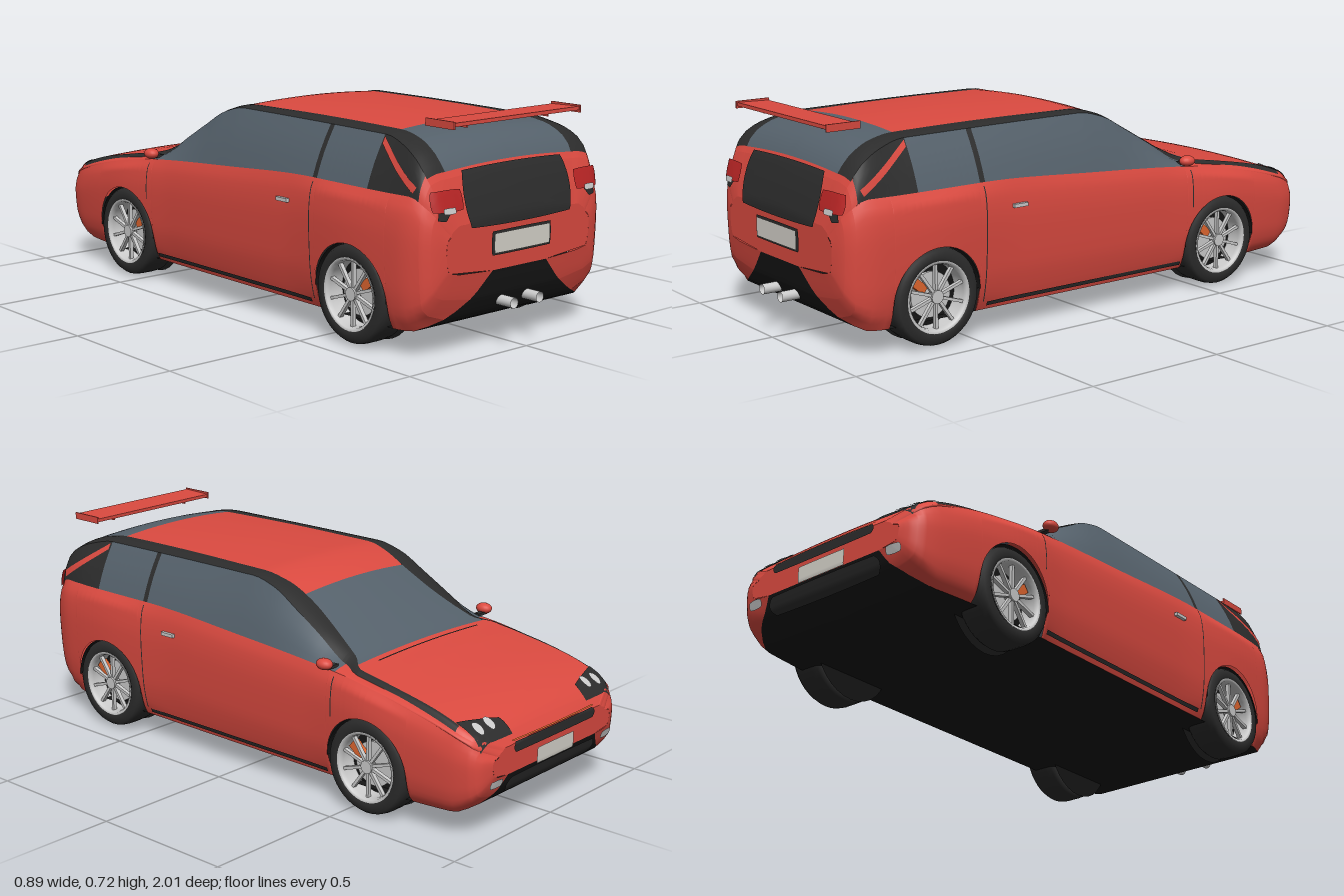
import * as THREE from 'three';

const mat = (color) => new THREE.MeshStandardMaterial({ color, side: THREE.DoubleSide });
const red = mat(0xdb4a40), black = mat(0x2c2c2c), under = mat(0x161616), glass = mat(0x55616b),
  silver = mat(0xcccccc), white = mat(0xf2f2f2), plate = mat(0xd6d3cb), lamp = mat(0xb92525), amber = mat(0xe0662f);

// Smooth interpolation through [position, value] pairs without overshoot
function curve(pts) {
  const d = pts.slice(1).map((p, i) => (p[1] - pts[i][1]) / (p[0] - pts[i][0]));
  const m = pts.map((p, i) => {
    if (i === 0) return d[0];
    if (i === pts.length - 1) return d[i - 1];
    return d[i - 1] * d[i] <= 0 ? 0 : (2 * d[i - 1] * d[i]) / (d[i - 1] + d[i]);
  });
  return (v) => {
    let i = 0;
    while (i < pts.length - 2 && v > pts[i + 1][0]) i++;
    const h = pts[i + 1][0] - pts[i][0], t = THREE.MathUtils.clamp((v - pts[i][0]) / h, 0, 1), q = 1 - t;
    return pts[i][1] * (1 + 2 * t) * q * q + m[i] * h * t * q * q + pts[i + 1][1] * t * t * (3 - 2 * t) - m[i + 1] * h * t * t * q;
  };
}

// Section measurements along the car: nose at -z, tail at +z
const Z0 = -1, Z1 = 0.965;
const yBottom = curve([[-1, .2], [-.98, .145], [-.94, .105], [-.88, .08], [.86, .08], [.92, .11], [.95, .17], [Z1, .25]]);
const wBottom = curve([[-1, .24], [-.96, .31], [-.88, .36], [-.6, .385], [.8, .385], [.88, .36], [.92, .3], [.95, .2], [Z1, .12]]);
const wSide = curve([[-1, .32], [-.985, .36], [-.96, .385], [-.9, .403], [-.75, .42], [-.575, .43], [-.3, .418], [.3, .417],
  [.64, .431], [.85, .42], [.93, .395], [.955, .36], [Z1, .32]]);
const wBelt = curve([[-1, .29], [-.96, .37], [-.9, .39], [-.7, .4], [0, .397], [.7, .4], [.9, .388], [.95, .35], [Z1, .3]]);
const yBelt = curve([[-1, .27], [-.96, .31], [-.9, .34], [-.7, .395], [-.45, .44], [0, .475], [.45, .5], [.88, .5], [.945, .45], [Z1, .38]]);
const wRail = curve([[-1, .27], [-.96, .36], [-.9, .38], [-.5, .372], [-.43, .345], [-.17, .328], [0, .322], [.7, .325], [.9, .36], [.95, .33], [Z1, .28]]);
const yRail = curve([[-1, .285], [-.96, .325], [-.9, .352], [-.7, .407], [-.43, .455], [-.3, .53], [-.2, .588], [-.1, .642], [0, .664],
  [.7, .66], [.8, .64], [.88, .6], [.92, .545], [.945, .48], [Z1, .4]]);
const wRoof = curve([[-1, .25], [-.96, .34], [-.9, .36], [-.5, .35], [-.43, .3], [-.17, .25], [0, .265], [.7, .258], [.9, .285], [Z1, .25]]);
const yTop = curve([[-1, .3], [-.97, .335], [-.93, .365], [-.8, .41], [-.6, .448], [-.47, .47], [-.4, .502], [-.3, .556], [-.2, .613],
  [-.1, .66], [0, .681], [.3, .685], [.7, .68], [.8, .665], [.88, .625], [.92, .57], [.945, .5], [Z1, .42]]);
const yRoofEdge = (z) => yTop(z) - Math.min(.012, (yTop(z) - yRail(z)) * .6);

const AXLES = [-.575, .64], ARCH = .163, WHEEL_Y = .16;
const sideX = (z, s) => curve([[0, wBottom(z)], [.1, wSide(z) * .95], [.35, wSide(z) * .988], [.7, wSide(z)], [.9, wSide(z) * .985], [1, wBelt(z)]])(s);
// Lower edge of the side, lifted into an arch over each wheel
function sideStart(z) {
  for (const c of AXLES) {
    const d = Math.abs(z - c);
    if (d < ARCH) return WHEEL_Y + Math.sqrt(ARCH * ARCH - d * d);
  }
  return yBottom(z);
}
const mix = THREE.MathUtils.lerp;
// Rows of the half section, from the floor to the centre of the roof
const ROWS = {
  floor: (z, t) => [wBottom(z) * t, yBottom(z)],
  side: (z, t) => {
    const y = mix(sideStart(z), yBelt(z), t);
    return [sideX(z, (y - yBottom(z)) / (yBelt(z) - yBottom(z))), y];
  },
  window: (z, t) => [mix(wBelt(z), wRail(z), t) + .006 * Math.sin(Math.PI * t), mix(yBelt(z), yRail(z), t)],
  rail: (z, t) => [mix(wRail(z), wRoof(z), t), mix(yRail(z), yRoofEdge(z), t) + .004 * Math.sin(Math.PI * t)],
  top: (z, t) => [wRoof(z) * (1 - t), yTop(z) - (yTop(z) - yRoofEdge(z)) * (1 - t) ** 2],
};
const stations = [];
for (let z = Z0; z < Z1; z += .025) stations.push(z);
for (const d of [.002, .005, .01, .016, .028, .04]) stations.push(Z0 + d, Z1 - d);
for (const c of AXLES) {
  for (let i = 0; i <= 24; i++) stations.push(c + (ARCH - 1e-5) * Math.cos((i / 24) * Math.PI));
  stations.push(c - ARCH - 3e-4, c + ARCH + 3e-4);
}
stations.sort((a, b) => a - b);

// Grid surface; its front faces a x b
function grid(fn, na, nb, flip = false) {
  const pos = [], idx = [], n = nb + 1;
  for (let i = 0; i <= na; i++) for (let j = 0; j <= nb; j++) pos.push(...fn(i, j));
  for (let i = 0; i < na; i++) for (let j = 0; j < nb; j++) {
    const a = i * n + j, b = a + n;
    if (flip) idx.push(a, a + 1, b, b, a + 1, b + 1);
    else idx.push(a, b, a + 1, b, b + 1, a + 1);
  }
  const g = new THREE.BufferGeometry();
  g.setAttribute('position', new THREE.Float32BufferAttribute(pos, 3));
  g.setIndex(idx);
  g.computeVertexNormals();
  return g;
}
function add(parent, name, geometry, material, x = 0, y = 0, z = 0) {
  const m = new THREE.Mesh(geometry, material);
  m.name = name;
  m.position.set(x, y, z);
  parent.add(m);
  return m;
}
const box = (x, y, z) => new THREE.BoxGeometry(x, y, z);

function panel(body, name, row, z0, z1, material) {
  const zs = [z0, ...stations.filter((z) => z > z0 + 1e-4 && z < z1 - 1e-4), z1];
  const n = row === 'side' ? 16 : row === 'top' ? 8 : 4;
  for (const s of [1, -1]) add(body, name, grid((i, j) => {
    const [x, y] = ROWS[row](zs[j], i / n);
    return [x * s, y, zs[j]];
  }, n, zs.length - 1, s < 0), material);
}

function makeWheel() {
  const wheel = new THREE.Group();
  const ring = (pts) => new THREE.LatheGeometry(pts.map((p) => new THREE.Vector2(...p)), 40).rotateZ(-Math.PI / 2);
  add(wheel, 'tyre', ring([[.112, -.055], [.148, -.058], [.158, -.045], [.16, -.02], [.16, .025], [.157, .043], [.148, .055], [.125, .058], [.114, .052]]), black);
  add(wheel, 'rim', ring([[.104, -.05], [.104, .04], [.108, .055], [.117, .056]]), silver);
  add(wheel, 'backPlate', new THREE.CircleGeometry(.106, 32).rotateY(Math.PI / 2), under, -.01);
  add(wheel, 'brakeDisc', new THREE.CylinderGeometry(.075, .075, .01, 32).rotateZ(Math.PI / 2), silver, .005);
  add(wheel, 'hub', new THREE.CylinderGeometry(.018, .022, .03, 20).rotateZ(Math.PI / 2), silver, .035);
  for (let i = 0; i < 10; i++) add(wheel, 'spoke', box(.014, .095, .01).translate(0, .06, 0).rotateX((i * Math.PI) / 5), silver, .036);
  return wheel;
}

export function createModel() {
  const car = new THREE.Group(), body = new THREE.Group();
  car.name = 'car';
  body.name = 'body';
  car.add(body);
  panel(body, 'floor', 'floor', Z0, Z1, under);
  panel(body, 'sidePanel', 'side', Z0, Z1, red);
  panel(body, 'frontWing', 'window', Z0, -.43, red);
  panel(body, 'doorWindow', 'window', -.43, .445, glass);
  panel(body, 'doorPost', 'window', .445, .465, black);
  panel(body, 'rearSideWindow', 'window', .465, .7, glass);
  panel(body, 'rearQuarter', 'window', .7, .91, black);
  panel(body, 'rearCorner', 'window', .91, Z1, red);
  panel(body, 'noseEdge', 'rail', Z0, -.9, red);
  panel(body, 'roofRail', 'rail', -.9, .915, black);
  panel(body, 'tailEdge', 'rail', .915, Z1, red);
  panel(body, 'bonnet', 'top', Z0, -.47, red);
  panel(body, 'windscreen', 'top', -.47, -.17, glass);
  panel(body, 'roof', 'top', -.17, .7, red);
  panel(body, 'rearWindow', 'top', .7, .915, glass);
  panel(body, 'tailgate', 'top', .915, Z1, red);
  // Flat closing faces at the nose and tail
  for (const [name, z] of [['noseFace', Z0], ['tailFace', Z1]]) {
    const outline = ['side', 'window', 'rail', 'top'].flatMap((r) => Array.from({ length: 9 }, (_, k) => ROWS[r](z, k / 8)));
    add(body, name, grid((i, j) => [outline[j][0] * (i / 4 - 1), outline[j][1], z], 8, outline.length - 1, z < 0), red);
  }

  // Thin trim laid on the bodywork, projected along one axis; corners run around the patch
  const ray = new THREE.Raycaster();
  const VIEWS = {
    top: (a, b) => [[a, 2, b], [0, -1, 0]], rear: (a, b) => [[a, b, 2], [0, 0, -1]], nose: (a, b) => [[a, b, -2], [0, 0, 1]],
    left: (a, b) => [[2, b, a], [-1, 0, 0]], right: (a, b) => [[-2, b, a], [1, 0, 0]],
  };
  function trim(name, view, c, material, round = 0, lift = .004, na = 14, nb = 8) {
    let last = 1;
    add(car, name, grid((i, j) => {
      const u = (2 * i) / na - 1, v = (2 * j) / nb - 1;
      const p = (1 + u * Math.sqrt(1 - (round * v * v) / 2)) / 2, q = (1 + v * Math.sqrt(1 - (round * u * u) / 2)) / 2;
      const at = (k) => mix(mix(c[0][k], c[1][k], p), mix(c[3][k], c[2][k], p), q);
      const [o, d] = VIEWS[view](at(0), at(1)).map((w) => new THREE.Vector3(...w));
      ray.set(o, d);
      const hit = ray.intersectObject(body, true)[0];
      if (hit) last = hit.distance;
      return o.addScaledVector(d, last - lift).toArray();
    }, na, nb, view === 'top' || view === 'nose' || view === 'left'), material);
  }
  const rect = (a0, b0, a1, b1) => [[a0, b0], [a1, b0], [a1, b1], [a0, b1]];

  // Tail
  trim('tailgatePanel', 'rear', rect(-.235, .39, .235, .572), black, .25, .005, 24, 14);
  trim('rearPlateFrame', 'rear', rect(-.133, .297, .133, .374), black, .1, .006);
  trim('rearPlate', 'rear', rect(-.125, .304, .125, .367), plate, .06, .01);
  // Nose
  trim('grille', 'nose', rect(-.22, .265, .22, .3), black, .2, .006, 20);
  trim('grilleLine', 'nose', rect(-.22, .302, .22, .306), amber, 0, .006, 20, 1);
  trim('lowerIntake', 'nose', rect(-.24, .13, .24, .19), black, .3, .006, 20);
  trim('frontPlate', 'nose', rect(-.1, .195, .1, .25), plate, .06, .009);
  trim('cowlLine', 'top', rect(-.26, -.498, .26, -.493), black, 0, .003, 20, 1);
  for (const s of [1, -1]) {
    const side = s > 0 ? 'left' : 'right', flipX = (c) => c.map(([a, b]) => [a * s, b]);
    trim('headlampHousing', 'top', flipX([[.2, -.985], [.355, -.978], [.365, -.885], [.205, -.935]]), black, .1, .004);
    for (const x of [.262, .318]) trim('headlamp', 'top', flipX(rect(x - .017, -.96, x + .017, -.917)), white, 1, .008);
    trim('fogLamp', 'nose', flipX(rect(.27, .17, .33, .2)), white, .6, .008);
    trim('tailLamp', 'rear', flipX(rect(.25, .455, .37, .52)), lamp, .3, .014);
    trim('tailLampSurround', 'rear', flipX([[.29, .46], [.32, .428], [.35, .432], [.345, .46]]), black, 0, .006);
    trim('reverseLamp', 'rear', flipX(rect(.288, .45, .336, .469)), silver, .4, .018);
    trim('quarterStripe', side, [[.705, .635], [.89, .51], [.9, .53], [.705, .655]], red, 0, .003);
    trim('sillStrip', side, rect(-.4, .094, .44, .108), black, 0, .004, 30, 2);
    trim('doorSeam', side, rect(.453, .11, .457, .49), black, 0, .002, 1, 20);
    trim('frontDoorSeam', side, rect(-.436, .3, -.432, .43), black, 0, .002, 1, 12);
    add(car, 'doorHandle', box(.014, .012, .055), silver, s * .42, .413, .32);
    // Mirror and its stalk
    add(car, 'mirror', new THREE.SphereGeometry(1, 20, 12).scale(.024, .019, .03), red, s * .42, .468, -.405);
    add(car, 'mirrorStalk', box(.05, .01, .02), black, s * .395, .455, -.41);
    // Twin exhaust
    add(car, 'exhaust', new THREE.CylinderGeometry(.017, .017, .14, 24, 1, true).rotateX(Math.PI / 2), silver, s * .058, .143, .93);
    add(car, 'exhaustInside', new THREE.CircleGeometry(.016, 20), under, s * .058, .143, .97);
    // Spoiler ends and posts
    add(car, 'spoilerEnd', box(.005, .024, .122), red, s * .28, .709, .89);
    add(car, 'spoilerPost', box(.006, .016, .05), red, s * .18, .697, .88);
    // Wheels inside dark wells
    for (const z of AXLES) {
      const wheel = makeWheel();
      wheel.name = z < 0 ? 'frontWheel' : 'rearWheel';
      wheel.position.set(s * .363, WHEEL_Y, z);
      if (s < 0) wheel.rotation.y = Math.PI;
      car.add(wheel);
      add(car, 'brakeCaliper', box(.025, .055, .03).rotateX(.9), amber, s * .383, .2, z + .055);
      add(car, 'wheelWell', new THREE.CylinderGeometry(ARCH, ARCH, .13, 32, 1, true, 0, Math.PI).rotateZ(Math.PI / 2), under, s * .35, WHEEL_Y, z);
      add(car, 'wheelWellWall', new THREE.CircleGeometry(ARCH, 32).rotateY(Math.PI / 2), under, s * .29, WHEEL_Y, z);
    }
  }
  add(car, 'spoilerBlade', box(.56, .012, .115).rotateX(-.03), red, 0, .709, .89);
  return car;
}
